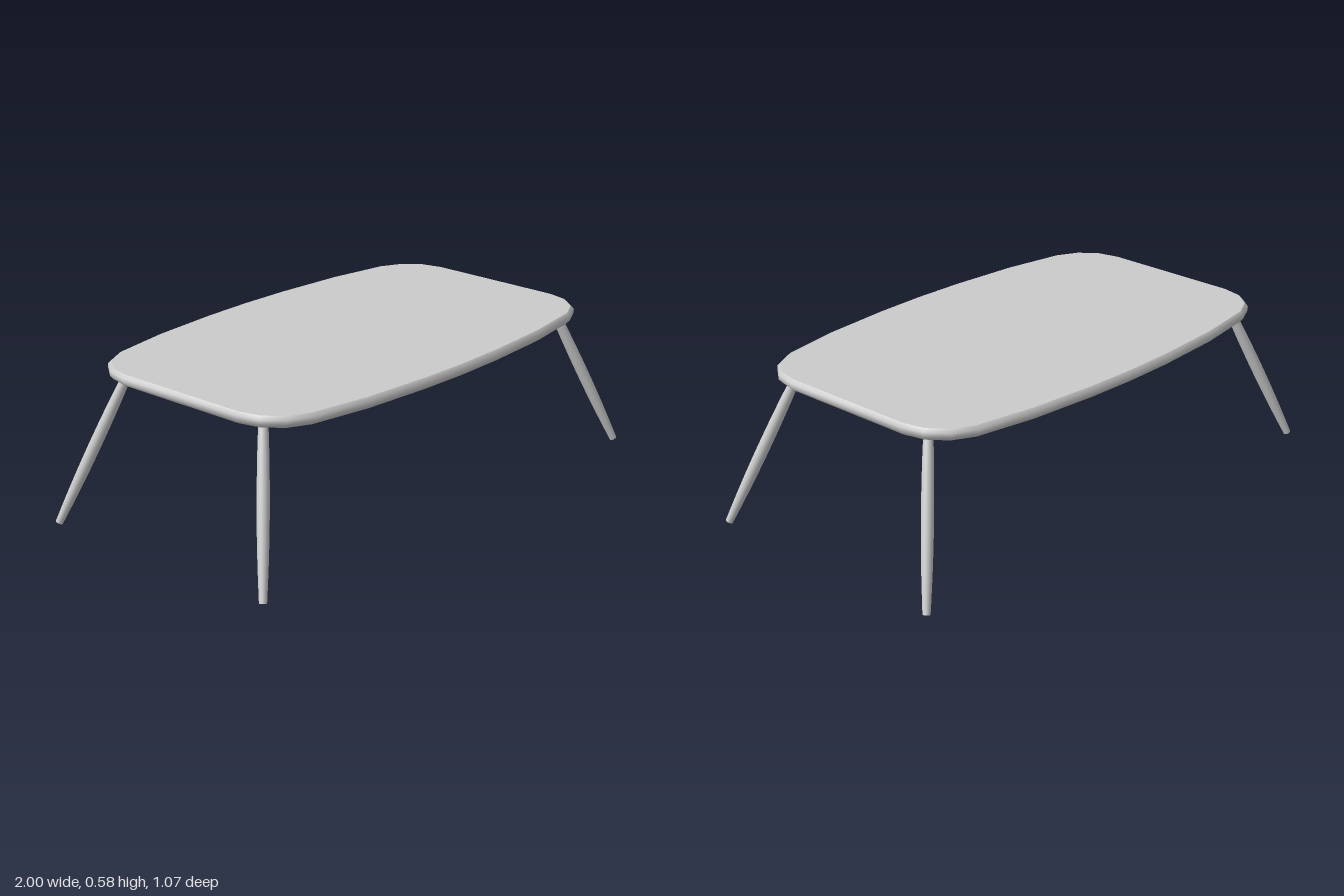
import * as THREE from 'three';

const material = new THREE.MeshStandardMaterial({ color: 0xcccccc });

// Quarter of the tabletop outline as [x, z], from the end to the long side
const QUARTER = [[0.865, 0.27], [0.845, 0.355], [0.79, 0.425], [0.705, 0.468], [0.47, 0.508], [0.2, 0.529]];
// Edge profile as [inset, y], bottom to top
const EDGE = [[0.012, 0.537], [0, 0.55], [0, 0.566], [0.012, 0.578]];

// Full outline, mirrored into four quarters
function outline() {
  const back = [...QUARTER].reverse();
  return [
    ...QUARTER, [0, 0.534],
    ...back.map(([x, z]) => [-x, z]),
    ...QUARTER.map(([x, z]) => [-x, -z]), [0, -0.534],
    ...back.map(([x, z]) => [x, -z]),
  ];
}

// One outline ring moved inward by the inset
function ring(points, inset, y) {
  const n = points.length;
  return points.map(([x, z], i) => {
    const a = points[(i + n - 1) % n], b = points[(i + 1) % n];
    const dx = b[0] - a[0], dz = b[1] - a[1], len = Math.hypot(dx, dz);
    return [x - (dz / len) * inset, y, z + (dx / len) * inset];
  });
}

function geometryFrom(vertices, index) {
  const g = new THREE.BufferGeometry();
  g.setAttribute('position', new THREE.Float32BufferAttribute(vertices.flat(), 3));
  g.setIndex(index);
  g.computeVertexNormals();
  return g;
}

function createTabletop() {
  const group = new THREE.Group();
  group.name = 'tabletop';
  const points = outline(), n = points.length;
  const rings = EDGE.map(([inset, y]) => ring(points, inset, y));

  // Smooth bevelled rim
  const rim = [];
  for (let r = 0; r < rings.length - 1; r++) {
    for (let i = 0; i < n; i++) {
      const a = r * n + i, b = r * n + (i + 1) % n;
      rim.push(a, a + n, b, b, a + n, b + n);
    }
  }
  const add = (geometry, name) => {
    const mesh = new THREE.Mesh(geometry, material);
    mesh.name = name;
    group.add(mesh);
  };
  add(geometryFrom(rings.flat(), rim), 'tabletopRim');

  // Flat faces above and below
  const cap = (loop, up) => {
    const index = [];
    for (let i = 0; i < n; i++) {
      const j = (i + 1) % n;
      index.push(n, up ? j : i, up ? i : j);
    }
    return geometryFrom([...loop, [0, loop[0][1], 0]], index);
  };
  add(cap(rings[rings.length - 1], true), 'tabletopUpperFace');
  add(cap(rings[0], false), 'tabletopUnderside');
  return group;
}

// Splayed leg, thickest in the middle
function createLeg(sx, sz, name) {
  const foot = new THREE.Vector3(sx * 0.986, 0.006, sz * 0.497);
  const top = new THREE.Vector3(sx * 0.79, 0.555, sz * 0.322);
  const axis = top.clone().sub(foot);
  const length = axis.length();
  const radii = [0.0135, 0.0172, 0.02, 0.0215, 0.0218, 0.021, 0.0192, 0.016];
  const profile = new THREE.SplineCurve(
    radii.map((r, i) => new THREE.Vector2(r, (length * i) / (radii.length - 1)))
  ).getPoints(14);
  const leg = new THREE.Group();
  leg.name = name;
  const shaft = new THREE.Mesh(new THREE.LatheGeometry(profile, 20), material);
  shaft.name = 'legShaft';
  const sole = new THREE.Mesh(new THREE.CircleGeometry(radii[0], 20), material);
  sole.name = 'legSole';
  sole.rotation.x = Math.PI / 2;
  leg.add(shaft, sole);
  leg.position.copy(foot);
  leg.quaternion.setFromUnitVectors(new THREE.Vector3(0, 1, 0), axis.normalize());
  return leg;
}

export function createModel() {
  const model = new THREE.Group();
  model.name = 'table';
  model.add(createTabletop());
  for (const [sx, side] of [[1, 'Left'], [-1, 'Right']]) {
    for (const [sz, end] of [[1, 'front'], [-1, 'back']]) {
      model.add(createLeg(sx, sz, `${end}${side}Leg`));
    }
  }
  return model;
}
